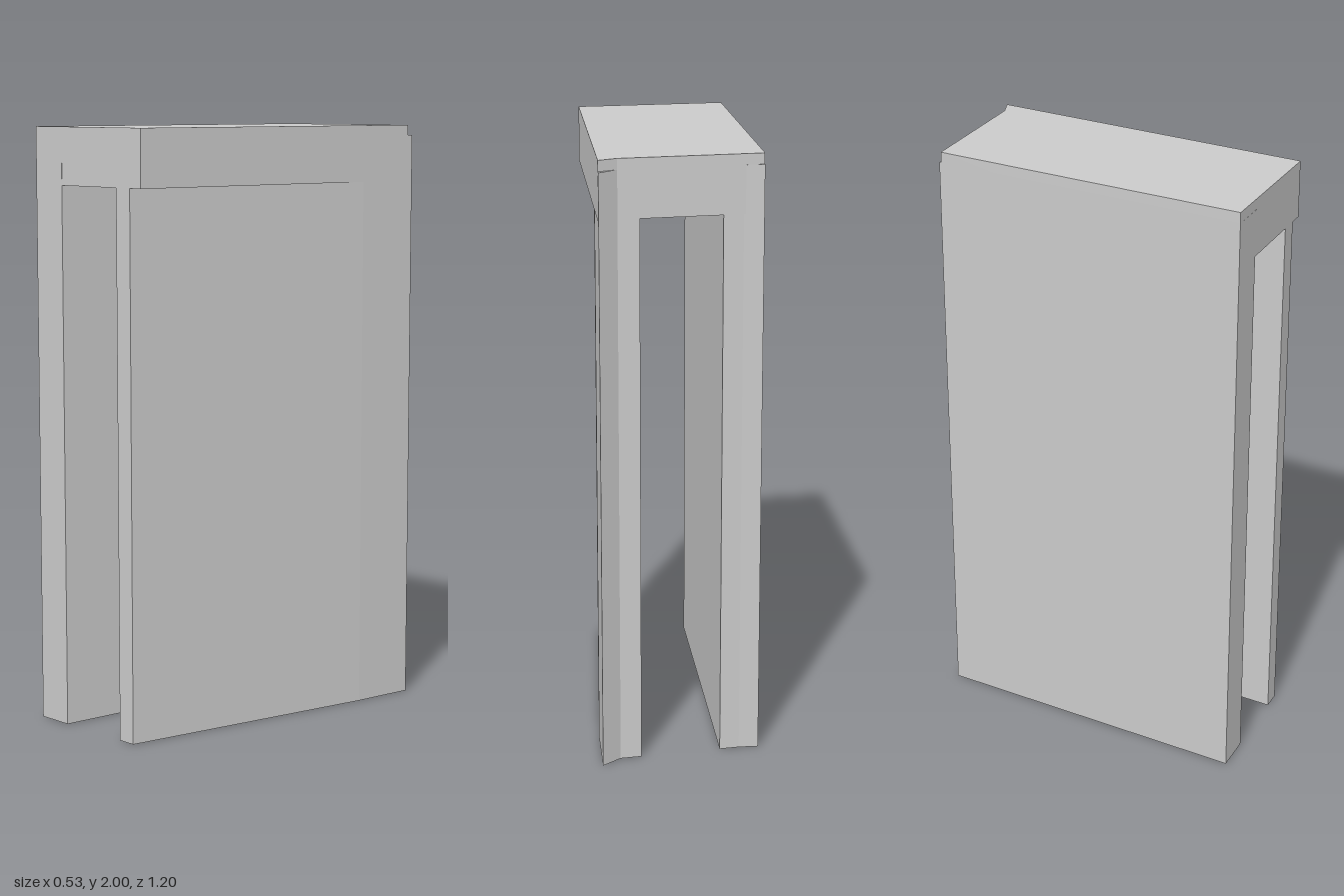
import * as THREE from 'three';

const material = new THREE.MeshStandardMaterial({ color: 0xcccccc, flatShading: true });

// Extrudes a plan outline of [x, z] corners upward from y0 to y1
function slab(name, plan, y0, y1) {
  const shape = new THREE.Shape(plan.map(([x, z]) => new THREE.Vector2(x, -z)));
  const geometry = new THREE.ExtrudeGeometry(shape, { depth: y1 - y0, bevelEnabled: false });
  geometry.rotateX(-Math.PI / 2);
  geometry.translate(0, y0, 0);
  const mesh = new THREE.Mesh(geometry, material);
  mesh.name = name;
  return mesh;
}

export function createModel() {
  const model = new THREE.Group();
  model.name = 'archway';

  // Wall on the -x side, with a small step at its back corner
  model.add(slab('thickWall', [
    [-0.265, 0.597], [-0.135, 0.585], [-0.135, -0.51], [-0.2, -0.502], [-0.265, -0.502],
  ], 0, 1.965));

  // Wall on the +x side, thin at the front and flaring to a pointed back corner
  model.add(slab('flaredWall', [
    [0.13, 0.558], [0.195, 0.552], [0.259, -0.38], [0.262, -0.6], [0.2, -0.55], [0.13, -0.542],
  ], 0, 1.965));

  // Top block bridging the walls and overhanging the flared one
  model.add(slab('topBlock', [
    [-0.265, 0.597], [0.247, 0.547], [0.262, -0.58], [0.2, -0.55], [-0.265, -0.495],
  ], 1.81, 2));

  return model;
}
